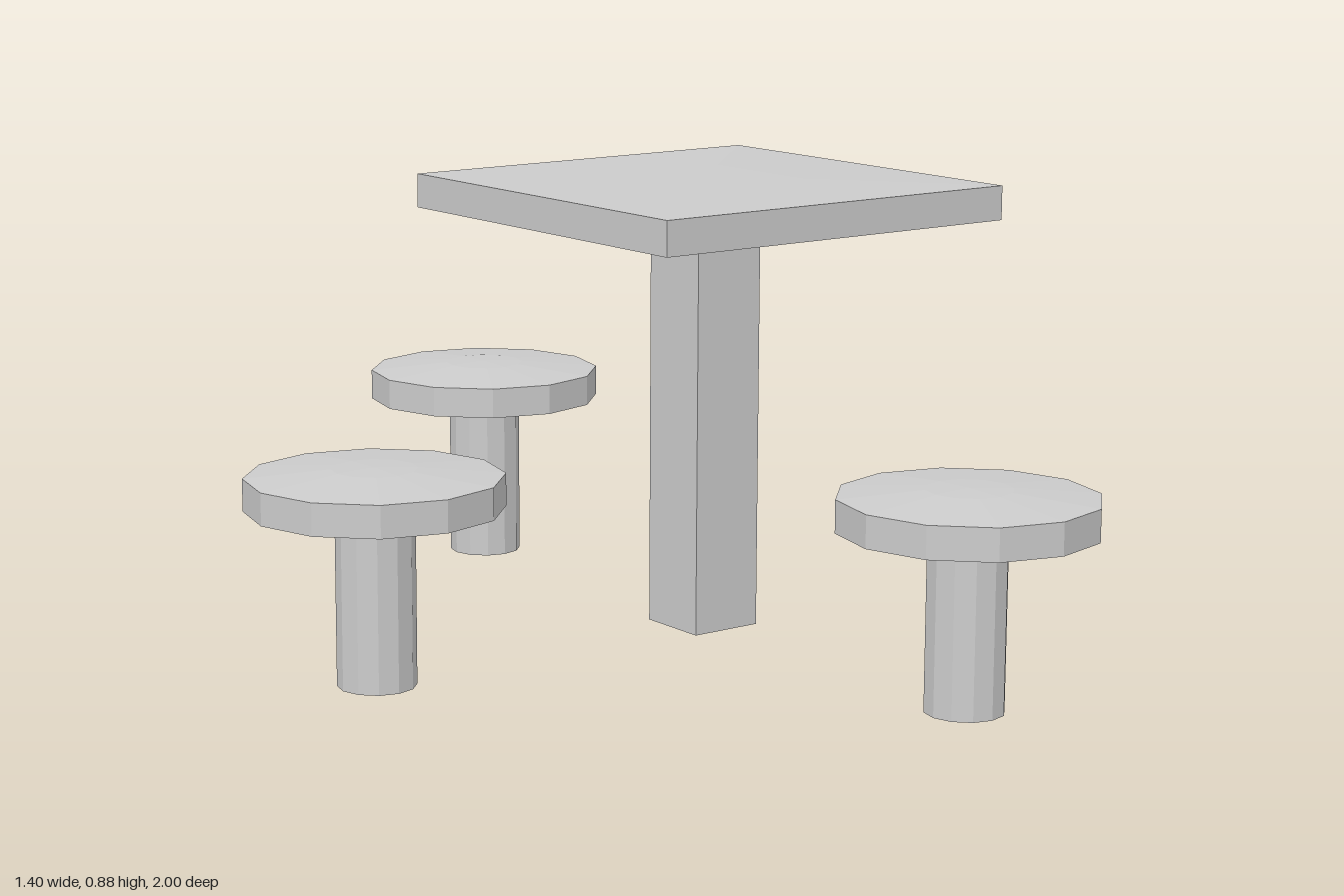
import * as THREE from 'three';

const material = new THREE.MeshStandardMaterial({ color: 0xcccccc, flatShading: true });
const openMaterial = new THREE.MeshStandardMaterial({ color: 0xcccccc, flatShading: true, side: THREE.DoubleSide });

function addMesh(parent, name, geometry, mat = material) {
  const mesh = new THREE.Mesh(geometry, mat);
  mesh.name = name;
  parent.add(mesh);
  return mesh;
}

// Solid turned from [radius, height] pairs, listed from bottom to top
function turned(profile, sides, start = 0) {
  const points = profile.map(([r, y]) => new THREE.Vector2(r, y));
  return new THREE.LatheGeometry(points, sides, start);
}

function createTable() {
  const table = new THREE.Group();
  table.name = 'table';

  // Square slab, very slightly crowned above and below
  const corner = 0.4 * Math.SQRT2;
  const top = turned([
    [0, 0.805], [corner / 3, 0.807], [corner, 0.812],
    [corner, 0.878], [corner / 3, 0.883], [0, 0.884],
  ], 4, Math.PI / 4);
  addMesh(table, 'tableTop', top);

  // Square post
  addMesh(table, 'tablePost', new THREE.BoxGeometry(0.15, 0.807, 0.15)).position.y = 0.4035;
  return table;
}

function createStool(name) {
  const stool = new THREE.Group();
  stool.name = name;

  // Twelve-sided seat with a shallow domed top
  const seat = turned([
    [0, 0.333], [0.24, 0.333], [0.24, 0.394], [0.08, 0.408], [0, 0.41],
  ], 12);
  addMesh(stool, 'seat', seat);

  // Open-ended tubular leg
  const leg = new THREE.CylinderGeometry(0.074, 0.074, 0.334, 12, 1, true);
  addMesh(stool, 'stoolLeg', leg, openMaterial).position.y = 0.167;
  return stool;
}

export function createModel() {
  const model = new THREE.Group();
  model.name = 'tableWithStools';

  const table = createTable();
  table.position.x = 0.3;
  model.add(table);

  // Stools on three sides of the table
  const places = [['frontStool', 0.3, 0.76], ['backStool', 0.3, -0.76], ['rightStool', -0.46, 0]];
  for (const [name, x, z] of places) {
    const stool = createStool(name);
    stool.position.set(x, 0, z);
    model.add(stool);
  }
  return model;
}
